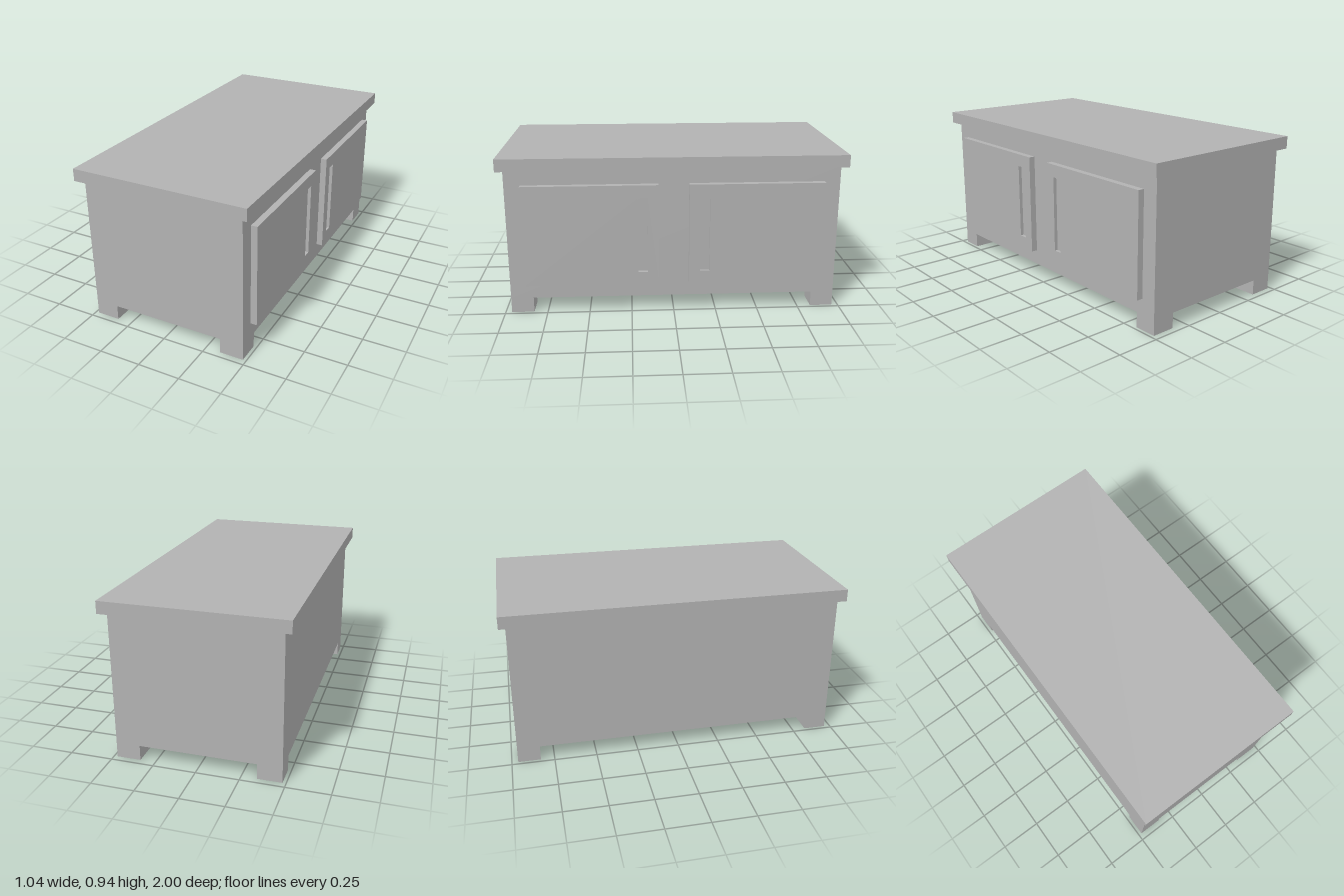
import * as THREE from 'three';

export function createModel() {
  const model = new THREE.Group();
  model.name = 'cabinet';
  const grey = new THREE.MeshStandardMaterial({ color: 0xb2b2b2 });
  grey.name = 'grey';

  const add = (name, geometry, x, y, z, parent = model) => {
    const mesh = new THREE.Mesh(geometry, grey);
    mesh.name = name;
    mesh.position.set(x, y, z);
    parent.add(mesh);
    return mesh;
  };
  const box = (w, h, d) => new THREE.BoxGeometry(w, h, d);

  // Carcass and overhanging top
  add('body', box(0.96, 0.78, 1.926), 0, 0.48, 0);
  add('top', box(1.044, 0.072, 2), 0, 0.905, 0);

  // Four block feet, flush with the body corners
  for (const sx of [-1, 1]) {
    for (const sz of [-1, 1]) {
      add('foot', box(0.14, 0.09, 0.132), sx * 0.41, 0.045, sz * 0.897);
    }
  }

  const rectangle = (path, x0, y0, x1, y1) => path
    .moveTo(x0, y0).lineTo(x1, y0).lineTo(x1, y1).lineTo(x0, y1).closePath();

  // Two doors on the +x side, each with a recessed vertical grip near the middle
  const width = 0.783, height = 0.6, backing = 0.017, recess = 0.02;
  for (const side of [-1, 1]) {
    const door = new THREE.Group();
    door.name = side > 0 ? 'leftDoor' : 'rightDoor';
    door.position.set(0.48, 0.48, side * 0.48);
    model.add(door);

    add('doorBack', box(backing, height, width), backing / 2, 0, 0, door);

    const panel = new THREE.Shape();
    rectangle(panel, -width / 2, -height / 2, width / 2, height / 2);
    const slot = new THREE.Path();
    const c = side * 0.3; // local shape x runs towards -z
    rectangle(slot, c - 0.028, -0.225, c + 0.028, 0.225);
    panel.holes.push(slot);
    const front = new THREE.ExtrudeGeometry(panel, { depth: recess, bevelEnabled: false });
    front.rotateY(Math.PI / 2);
    add('doorFront', front, backing, 0, 0, door);
  }
  return model;
}
